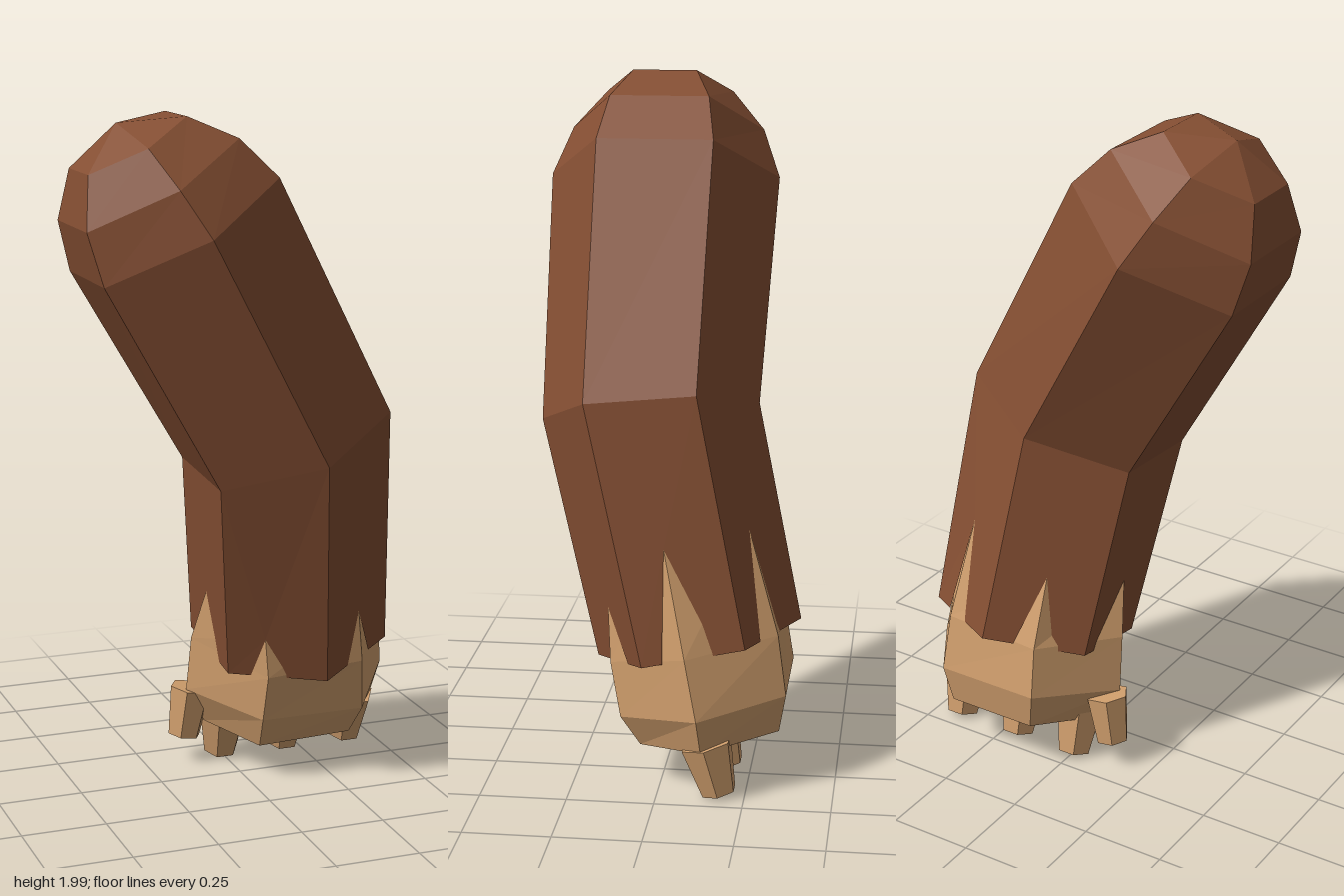
import * as THREE from 'three';

const V = (x, y, z) => new THREE.Vector3(x, y, z);
const mix = (a, b, t) => a.clone().lerp(b, t);

// Flat-shaded geometry from a flat list of triangle corners
function facets(points) {
  const g = new THREE.BufferGeometry().setFromPoints(points);
  g.computeVertexNormals();
  return g;
}

// Skin between rings listed from bottom to top, counter-clockwise from above
function loft(rings, out = []) {
  for (let k = 0; k + 1 < rings.length; k++) {
    const lo = rings[k], hi = rings[k + 1], n = lo.length;
    for (let i = 0; i < n; i++) {
      const j = (i + 1) % n;
      out.push(lo[i], lo[j], hi[j], lo[i], hi[j], hi[i]);
    }
  }
  return out;
}

function cap(ring, centre, up, out) {
  ring.forEach((p, i) => {
    const q = ring[(i + 1) % ring.length];
    out.push(...(up ? [p, q, centre] : [q, p, centre]));
  });
}

// Hexagonal ring from three neighbouring corners; the others mirror through the centre
function hexRing(c, a, b, d) {
  const half = [a, b, d];
  return [...half, ...half.map((p) => c.clone().multiplyScalar(2).sub(p))];
}

export function createModel() {
  const group = new THREE.Group();
  group.name = 'arm';
  const fur = new THREE.MeshStandardMaterial({ color: 0x854f33, side: THREE.DoubleSide });
  fur.name = 'brown fur';
  const skin = new THREE.MeshStandardMaterial({ color: 0xd2a06e });
  skin.name = 'tan skin';
  const add = (name, geometry, material) => {
    const m = new THREE.Mesh(geometry, material);
    m.name = name;
    group.add(m);
    return m;
  };

  // Rings of the arm: cuff, elbow, shoulder and the rounded top
  const cuff = hexRing(V(0.19, 0.405, -0.095), V(0.2, 0.34, 0.2), V(0.455, 0.4, 0.04), V(0.44, 0.46, -0.25));
  const elbow = hexRing(V(0.12, 1.06, 0.055), V(0.13, 1.03, 0.368), V(0.385, 1.14, 0.21), V(0.378, 1.17, -0.105));
  const shoulder = hexRing(V(-0.22, 1.69, 0.053), V(-0.22, 1.69, 0.39), V(0.035, 1.83, 0.22), V(0.035, 1.83, -0.114));
  const domeLow = hexRing(V(-0.295, 1.82, 0.053), V(-0.295, 1.82, 0.337), V(-0.075, 1.94, 0.196), V(-0.075, 1.94, -0.09));
  const domeHigh = hexRing(V(-0.352, 1.925, 0.053), V(-0.352, 1.925, 0.24), V(-0.21, 2.0, 0.146), V(-0.21, 2.0, -0.04));

  // Upper arm
  const upper = loft([elbow, shoulder, domeLow, domeHigh]);
  cap(domeHigh, V(-0.385, 1.98, 0.053), true, upper);
  add('upperArm', facets(upper), fur);

  // Forearm: every side has a notch, given by its height and its span along the hem
  const notches = [
    [0.53, 0.35, 0.7], [0.74, 0.2, 0.68], [0.77, 0.27, 0.6],
    [0.66, 0.3, 0.66], [0.58, 0.3, 0.68], [0.47, 0.23, 0.54],
  ];
  const tips = [], forearm = [];
  notches.forEach(([y, t0, t1], i) => {
    const j = (i + 1) % 6, m = (t0 + t1) / 2;
    const low = mix(cuff[i], cuff[j], m), high = mix(elbow[i], elbow[j], m);
    const tip = mix(low, high, (y - low.y) / (high.y - low.y));
    const p = mix(cuff[i], cuff[j], t0), q = mix(cuff[i], cuff[j], t1);
    forearm.push(
      cuff[i], p, tip, cuff[i], tip, elbow[i], elbow[i], tip, elbow[j],
      tip, cuff[j], elbow[j], tip, q, cuff[j],
    );
    tips.push(tip);
  });
  add('forearm', facets(forearm), fur);

  // Hand: its corners reach up into the notches
  const palm = [
    V(0.33, 0.12, 0.06), V(0.48, 0.16, -0.13), V(0.33, 0.18, -0.34),
    V(0.05, 0.18, -0.34), V(-0.07, 0.14, -0.13), V(0.04, 0.11, 0.06),
  ];
  const knuckles = [
    V(0.35, 0.21, 0.115), V(0.51, 0.265, -0.12), V(0.35, 0.295, -0.36),
    V(0.03, 0.295, -0.36), V(-0.13, 0.25, -0.12), V(0.03, 0.21, 0.115),
  ];
  const wrist = [
    V(0.335, 0.37, 0.145), V(0.49, 0.44, -0.085), V(0.335, 0.47, -0.335),
    V(0.035, 0.45, -0.335), V(-0.122, 0.42, -0.095), V(0.035, 0.35, 0.145),
  ];
  const hand = loft([palm, knuckles, wrist, tips]);
  cap(palm, V(0.2, 0.145, -0.13), false, hand);
  cap(tips, V(0.17, 0.62, -0.05), true, hand);
  add('hand', facets(hand), skin);

  // Stubby six-sided digits running from a root to a tip
  const digit = (name, root, tip, rRoot, rTip) => {
    const axis = root.clone().sub(tip);
    const g = new THREE.CylinderGeometry(rRoot, rTip, axis.length(), 6).toNonIndexed();
    g.rotateY(Math.PI / 6);
    g.computeVertexNormals();
    const m = add(name, g, skin);
    m.position.copy(mix(root, tip, 0.5));
    m.quaternion.setFromUnitVectors(V(0, 1, 0), axis.normalize());
  };
  [0.0, 0.205, 0.415].forEach((x, i) => {
    digit('finger' + (i + 1), V(x, 0.17, -0.14), V(x, 0.023, -0.177), 0.078, 0.052);
  });
  digit('thumb', V(-0.103, 0.245, -0.15), V(-0.126, 0.095, -0.155), 0.066, 0.05);

  return group;
}
